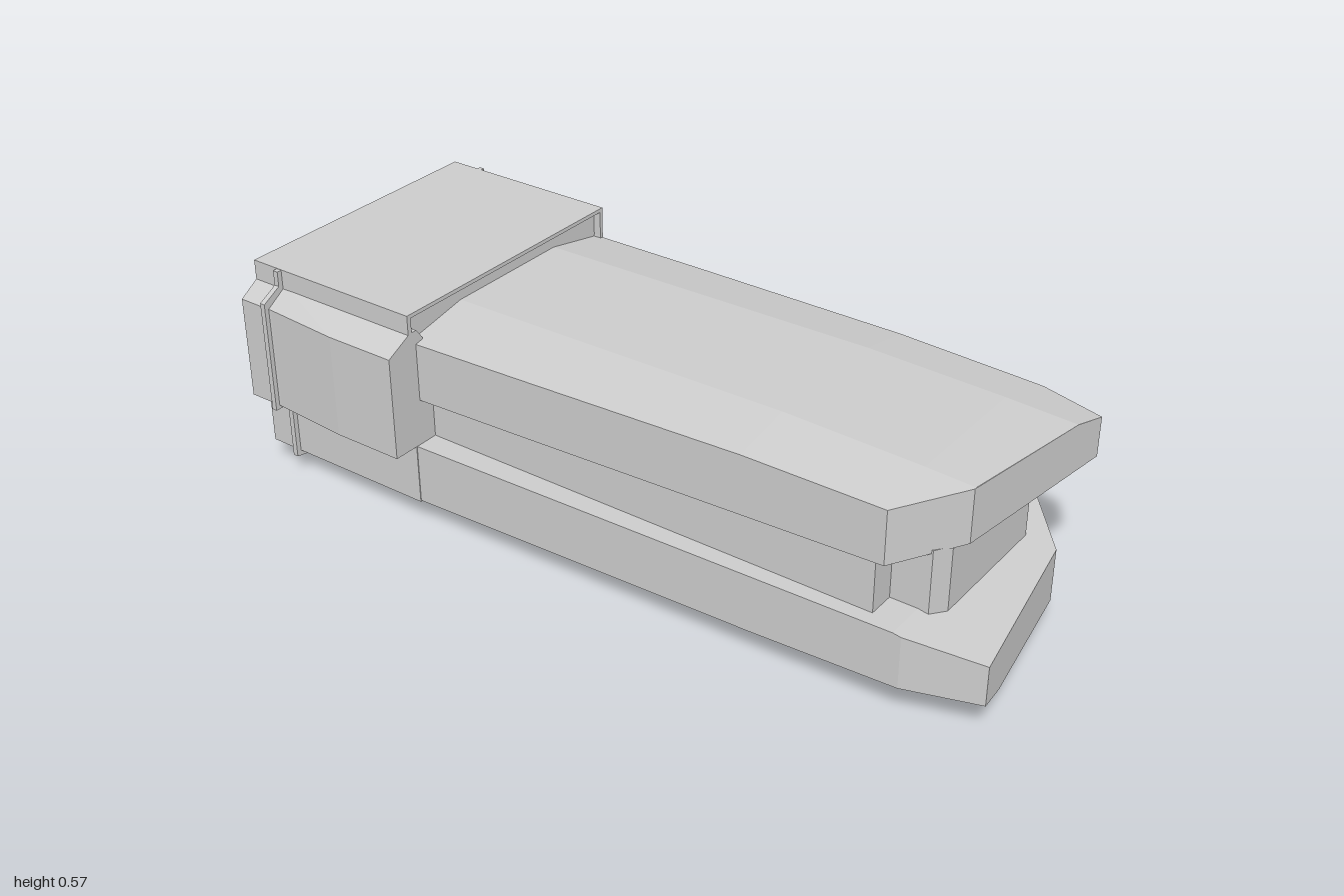
import * as THREE from 'three';

const material = new THREE.MeshStandardMaterial({ color: 0xcccccc, flatShading: true });

function add(group, name, geometry) {
  const mesh = new THREE.Mesh(geometry, material);
  mesh.name = name;
  group.add(mesh);
  return mesh;
}

// Piecewise linear lookup in [[z, value], ...]
function lerpTable(table, z) {
  if (z <= table[0][0]) return table[0][1];
  for (let i = 1; i < table.length; i++) {
    const [z0, v0] = table[i - 1], [z1, v1] = table[i];
    if (z <= z1) return v0 + (v1 - v0) * (z - z0) / (z1 - z0);
  }
  return table[table.length - 1][1];
}

// Closed loft through rings of points, counter-clockwise seen from +z, back to front
function loft(rings) {
  const pos = [];
  const tri = (a, b, c) => pos.push(...a, ...b, ...c);
  const n = rings[0].length, front = rings[rings.length - 1], back = rings[0];
  for (let k = 0; k + 1 < rings.length; k++) {
    const A = rings[k], B = rings[k + 1];
    for (let i = 0; i < n; i++) {
      const j = (i + 1) % n;
      tri(A[i], A[j], B[j]);
      tri(A[i], B[j], B[i]);
    }
  }
  for (let i = 1; i + 1 < n; i++) {
    tri(front[0], front[i], front[i + 1]);
    tri(back[0], back[i + 1], back[i]);
  }
  const g = new THREE.BufferGeometry();
  g.setAttribute('position', new THREE.Float32BufferAttribute(pos, 3));
  g.computeVertexNormals();
  return g;
}

// Long slab with a plan outline (left/right tables) and height rules
function slab({ stations, left, right, breaks, top, bottom }) {
  return loft(stations.map((z) => {
    const L = lerpTable(left, z), R = lerpTable(right, z);
    const xs = [L, ...breaks.map((b) => Math.min(R, Math.max(L, b))), R];
    return [
      ...xs.map((x) => [x, bottom(x, z), z]),
      ...xs.slice().reverse().map((x) => [x, top(x, z), z]),
    ];
  }));
}

const toShape = (pts) => new THREE.Shape(pts.map(([x, y]) => new THREE.Vector2(x, y)));

// Extrude an xy outline between two z values
function extrude(pts, z0, z1, hole) {
  const shape = toShape(pts);
  if (hole) shape.holes.push(toShape(hole));
  return new THREE.ExtrudeGeometry(shape, { depth: z1 - z0, bevelEnabled: false }).translate(0, 0, z0);
}

export function createModel() {
  const group = new THREE.Group();

  // Upper slab: crowned top, underside rising at the nose
  const upperCrown = [[-0.325, 0.495], [-0.14, 0.53], [0.215, 0.53], [0.39, 0.495]];
  const upperLift = [[-0.5, -0.004], [0.4, 0.004], [0.755, -0.006], [0.945, -0.015]];
  const upperBase = [[-0.5, 0.34], [0.755, 0.358], [0.945, 0.396]];
  add(group, 'upperSlab', slab({
    stations: [-0.53, -0.2, 0.4, 0.755, 0.78, 0.875, 0.931, 0.945],
    left: [[-0.5, -0.325], [0.755, -0.29], [0.875, -0.145], [0.945, 0.304]],
    right: [[-0.5, 0.39], [-0.2, 0.385], [0.78, 0.355], [0.945, 0.305]],
    breaks: [-0.14, 0.215],
    top: (x, z) => lerpTable(upperCrown, x) + lerpTable(upperLift, z),
    bottom: (x, z) => lerpTable(upperBase, z),
  }));

  // Lower slab: keeled underside, top dropping at the nose
  const lowerKeel = [[-0.345, 0.068], [-0.17, 0.031], [0.185, 0.031], [0.365, 0.068]];
  const lowerLift = [[-0.5, 0], [0.45, 0.012], [0.82, 0.023], [1, 0.036]];
  const lowerTop = [[0.8, 0.222], [1, 0.188]];
  add(group, 'lowerSlab', slab({
    stations: [-0.5, 0.45, 0.8, 0.82, 0.925, 0.985, 1],
    left: [[-0.5, -0.345], [0.82, -0.315], [1, -0.26]],
    right: [[-0.5, 0.365], [0.8, 0.335], [0.925, 0.19], [1, -0.259]],
    breaks: [-0.17, 0.185],
    top: (x, z) => lerpTable(lowerTop, z),
    bottom: (x, z) => lerpTable(lowerKeel, x) + lerpTable(lowerLift, z),
  }));

  // Core between the slabs, with a narrower chamfered tongue in front (plan outline)
  const core = toShape([
    [-0.28, 0.52], [0.29, 0.52], [0.29, -0.73], [0.21, -0.73], [0.21, -0.825],
    [0.185, -0.85], [-0.17, -0.85], [-0.21, -0.825], [-0.21, -0.73], [-0.28, -0.73],
  ]);
  add(group, 'core', new THREE.ExtrudeGeometry(core, { depth: 0.17, bevelEnabled: false })
    .rotateX(-Math.PI / 2).translate(0, 0.21, 0));

  // Rear housing with a shallow opening round the upper slab
  const housing = [
    [-0.347, 0.575], [-0.347, 0.065], [-0.17, 0.03], [0.185, 0.03], [0.255, 0.018],
    [0.402, 0.03], [0.402, 0.333], [0.39, 0.333], [0.39, 0.575],
  ];
  const opening = [
    [-0.335, 0.565], [0.38, 0.565], [0.38, 0.5], [0.37, 0.36],
    [-0.3, 0.36], [-0.3, 0.5], [-0.32, 0.527], [-0.335, 0.527],
  ];
  add(group, 'housing', extrude(housing, -1, -0.52));
  add(group, 'housingRim', extrude(housing, -0.52, -0.5, opening));

  // Side bulge, wider towards the front
  add(group, 'sideBulge', loft([[-1, -0.4], [-0.9, -0.4], [-0.69, -0.416], [-0.5, -0.416]].map(([z, x]) => [
    [x, 0.222, z], [-0.34, 0.222, z], [-0.34, 0.528, z], [x, 0.49, z],
  ])));

  // Thin rib wrapping the housing
  add(group, 'rib', extrude([
    [-0.36, 0.574], [-0.36, 0.535], [-0.412, 0.507], [-0.412, 0.212], [-0.38, 0.212],
    [-0.38, 0.207], [-0.36, 0.207], [-0.36, 0.053], [-0.175, 0.016], [0.19, 0.016],
    [0.255, 0], [0.415, 0.016], [0.415, 0.342], [0.402, 0.342], [0.402, 0.574],
  ], -0.922, -0.908));

  return group;
}
